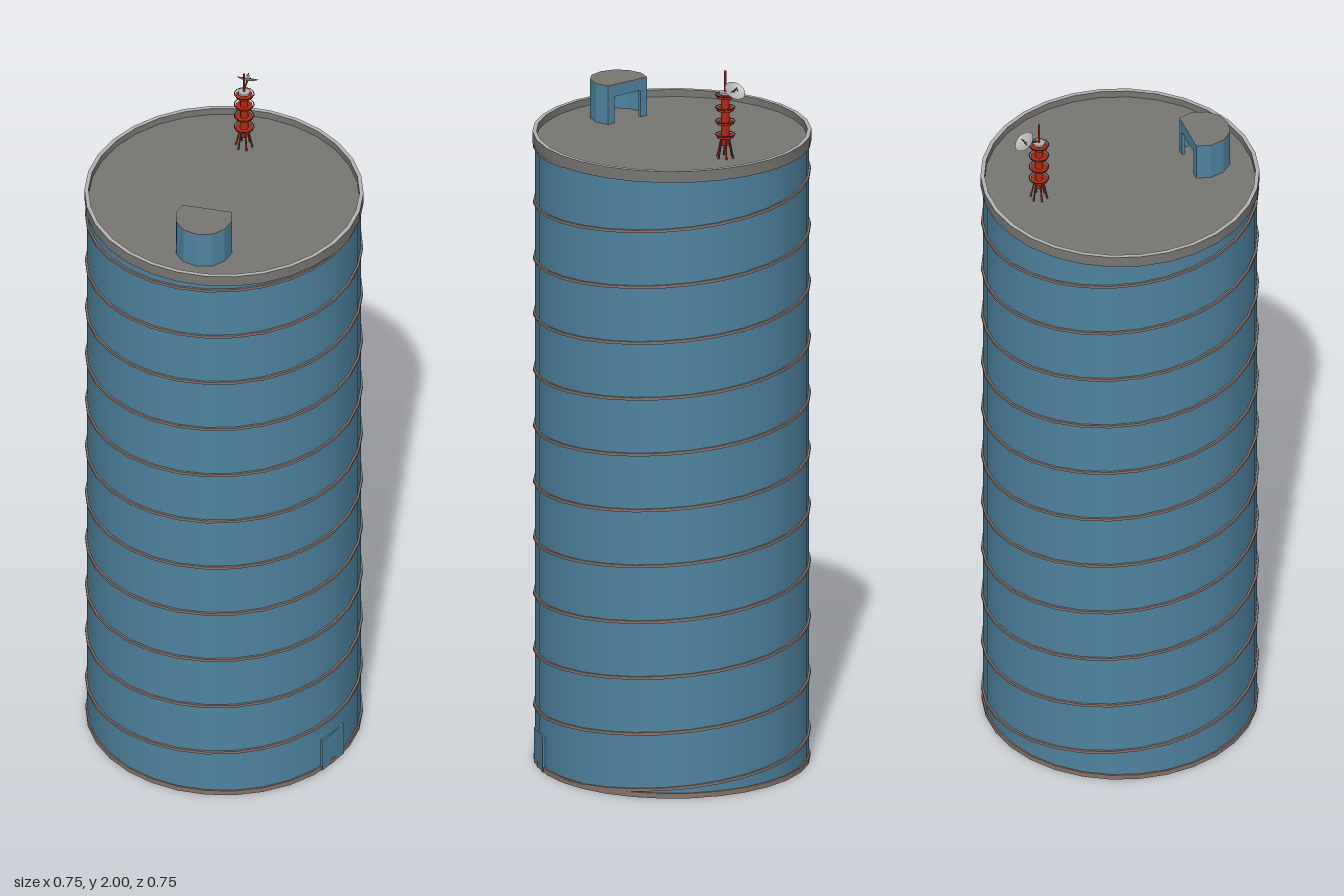
import * as THREE from 'three';
import { toCreasedNormals } from 'three/addons/utils/BufferGeometryUtils.js';

const SIDES = 30, R = 0.37, ROOF_Y = 1.755;

const mat = (name, color, side = THREE.FrontSide) => {
  const m = new THREE.MeshStandardMaterial({ color, side });
  m.name = name;
  return m;
};

export function createModel() {
  const blue = mat('wall blue', 0x4f839f, THREE.DoubleSide);
  const grey = mat('roof grey', 0x777673);
  const light = mat('light grey', 0xb4b4b4, THREE.DoubleSide);
  const brown = mat('band brown', 0x86726a);
  const red = mat('mast red', 0xb02a14);
  const dark = mat('dark steel', 0x4a4644);

  const model = new THREE.Group();
  const add = (name, geo, material, parent = model, x = 0, y = 0, z = 0) => {
    const mesh = new THREE.Mesh(geo, material);
    mesh.name = name;
    mesh.position.set(x, y, z);
    parent.add(mesh);
    return mesh;
  };

  // Rectangular-section ring
  const ring = (ro, ri, y0, y1, sides = SIDES) => {
    const p = [[ro, y0], [ro, y1], [ri, y1], [ri, y0], [ro, y0]].map(([x, y]) => new THREE.Vector2(x, y));
    return toCreasedNormals(new THREE.LatheGeometry(p, sides).rotateY(Math.PI / 2), 0.5);
  };
  // Thin rod between two points
  const rod = (name, a, b, r, material, parent) => {
    const from = new THREE.Vector3(...a), to = new THREE.Vector3(...b);
    const dir = to.clone().sub(from);
    const m = add(name, new THREE.CylinderGeometry(r, r, dir.length(), 6), material, parent);
    m.position.copy(from).lerp(to, 0.5);
    m.quaternion.setFromUnitVectors(new THREE.Vector3(0, 1, 0), dir.normalize());
  };

  // Tower shell, open underneath
  add('towerWall', new THREE.CylinderGeometry(R, R, 1.755, SIDES, 1, true).rotateY(Math.PI / 2), blue, model, 0, 1.755 / 2, 0);
  add('roof', new THREE.CylinderGeometry(0.367, 0.367, 0.01, SIDES).rotateY(Math.PI / 2), grey, model, 0, ROOF_Y - 0.005, 0);
  add('roofRim', ring(0.377, 0.366, 1.743, 1.775), grey);
  add('rimCap', new THREE.RingGeometry(0.366, 0.377, SIDES).rotateX(-Math.PI / 2), light, model, 0, 1.7755, 0);
  add('baseBand', ring(0.374, 0.366, 0, 0.014), brown);

  // Spiral band climbing the wall, tilted slightly
  const section = [[0.366, -0.004], [0.3755, -0.004], [0.3755, 0.004], [0.366, 0.004]];
  const pos = [], idx = [], steps = 11 * SIDES;
  for (let i = 0; i <= steps; i++) {
    const t = -Math.PI + (i / SIDES) * Math.PI * 2;
    const cx = -Math.cos(t), cz = Math.sin(t);
    const y = 0.106 + 0.158 * t / (Math.PI * 2) - 0.0105 * (1 + cx) + 0.0065 * cz;
    for (const [r, dy] of section) pos.push(cx * r, Math.max(0, y + dy), cz * r);
    if (i === steps) break;
    for (let j = 0; j < 4; j++) {
      const a = i * 4 + j, b = i * 4 + (j + 1) % 4;
      idx.push(a, a + 4, b + 4, a, b + 4, b);
    }
  }
  const spiral = new THREE.BufferGeometry();
  spiral.setAttribute('position', new THREE.Float32BufferAttribute(pos, 3));
  spiral.setIndex(idx);
  spiral.computeVertexNormals();
  add('spiralBand', toCreasedNormals(spiral, 0.5), brown);

  // Entrance door at the foot of the wall
  const entry = new THREE.Group();
  entry.name = 'entrance';
  entry.rotation.y = THREE.MathUtils.degToRad(66);
  model.add(entry);
  add('entranceDoor', new THREE.BoxGeometry(0.095, 0.1, 0.016), blue, entry, 0, 0.05, 0.364);

  // Roof stair house: flat back with a doorway, rounded front
  const half = [[0.067, 0.195], [0.078, 0.233], [0.067, 0.273], [0.04, 0.302]];
  const plan = [...half, [0, 0.312], ...half.map(([x, z]) => [-x, z]).reverse()];
  const house = new THREE.Group();
  house.name = 'stairHouse';
  model.add(house);
  const top = 1.862, wallH = top - ROOF_Y;
  for (let i = 0; i < plan.length - 1; i++) {
    const [x0, z0] = plan[i], [x1, z1] = plan[i + 1];
    const wall = add('houseWall', new THREE.PlaneGeometry(Math.hypot(x1 - x0, z1 - z0), wallH), blue, house,
      (x0 + x1) / 2, ROOF_Y + wallH / 2, (z0 + z1) / 2);
    wall.rotation.y = Math.atan2(z0 - z1, x1 - x0) + Math.PI;
  }
  const back = new THREE.Shape([[-0.067, 0], [-0.045, 0], [-0.045, 0.075], [0.045, 0.075], [0.045, 0],
    [0.067, 0], [0.067, wallH], [-0.067, wallH]].map(([x, y]) => new THREE.Vector2(x, y)));
  add('houseDoorway', new THREE.ExtrudeGeometry(back, { depth: 0.008, bevelEnabled: false }), blue, house, 0, ROOF_Y, 0.195);
  const cap = new THREE.Shape(plan.map(([x, z]) => new THREE.Vector2(x, -z)));
  add('houseRoof', new THREE.ExtrudeGeometry(cap, { depth: 0.004, bevelEnabled: false }).rotateX(-Math.PI / 2), grey, house, 0, top - 0.002, 0);

  // Antenna mast: splayed feet, columns, rings and tip
  const mast = new THREE.Group();
  mast.name = 'antennaMast';
  mast.position.set(0, ROOF_Y, -0.233);
  model.add(mast);
  for (let i = 0; i < 6; i++) {
    const a = (i / 6) * Math.PI * 2, c = Math.cos(a), s = Math.sin(a);
    rod('mastFoot', [c * 0.023, 0, s * 0.023], [c * 0.01, 0.06, s * 0.01], 0.0025, i % 2 ? red : dark, mast);
  }
  add('mastColumn', new THREE.CylinderGeometry(0.011, 0.012, 0.15, 8), red, mast, 0, 0.11, 0);
  for (const y of [0.06, 0.098, 0.136, 0.172]) {
    add('mastRing', ring(0.024, 0.01, y - 0.003, y + 0.003, 8), red, mast);
    add('ringRail', new THREE.TorusGeometry(0.027, 0.0014, 4, 12).rotateX(Math.PI / 2), dark, mast, 0, y + 0.006, 0);
  }
  add('mastPlatform', new THREE.CylinderGeometry(0.017, 0.017, 0.006, 8), light, mast, 0, 0.183, 0);
  rod('mastTip', [0, 0.18, 0], [0, 0.245, 0], 0.003, red, mast);

  // Tilted dish with feed
  rod('dishArm', [0, 0.19, 0], [0, 0.194, -0.036], 0.0025, dark, mast);
  const dish = new THREE.Group();
  dish.name = 'dish';
  dish.position.set(0, 0.196, -0.04);
  dish.rotation.x = -0.66;
  mast.add(dish);
  const bowl = [0, 0.01, 0.02, 0.026, 0.03].map(r => new THREE.Vector2(r, r * r * 9 - 0.004));
  add('dishBowl', new THREE.LatheGeometry(bowl, 20), light, dish);
  rod('dishFeed', [0, -0.003, 0], [0, 0.018, 0], 0.0012, dark, dish);
  for (const s of [-1, 1]) rod('feedStrut', [s * 0.012, -0.002, 0], [0, 0.016, 0], 0.0008, dark, dish);

  return model;
}
